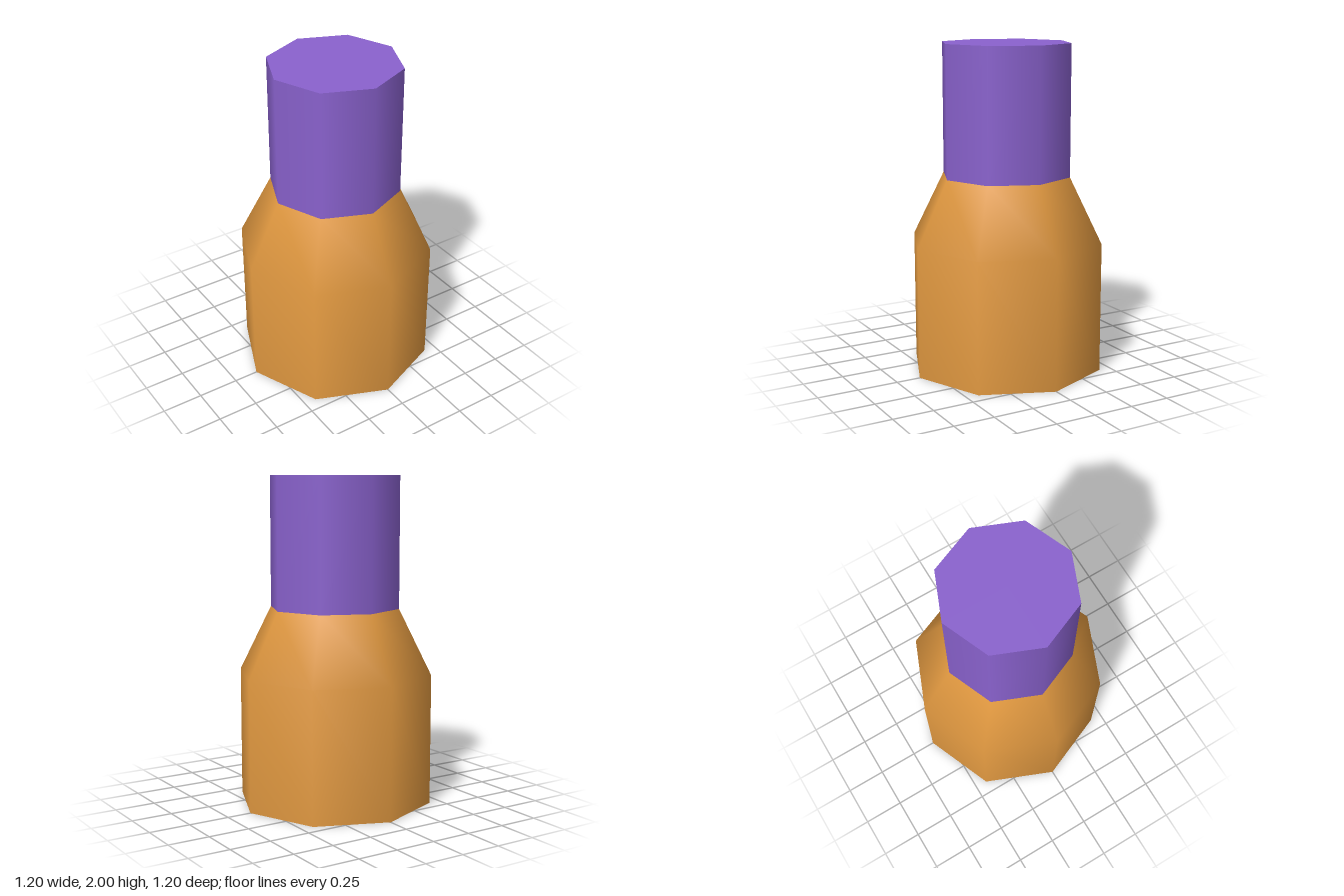
import * as THREE from 'three';

const SIDES = 8;

export function createModel() {
  const model = new THREE.Group();
  const orange = new THREE.MeshStandardMaterial({ color: 0xe09840 });
  orange.name = 'orange';
  const purple = new THREE.MeshStandardMaterial({ color: 0x8a62ce });
  purple.name = 'purple';

  const add = (name, geometry, material) => {
    const mesh = new THREE.Mesh(geometry, material);
    mesh.name = name;
    model.add(mesh);
    return mesh;
  };

  // Body wall and sloping shoulder, smooth across the shoulder line
  const profile = [[0.6, 0], [0.6, 0.8], [0.4, 1.2]].map(([r, y]) => new THREE.Vector2(r, y));
  add('body', new THREE.LatheGeometry(profile, SIDES), orange);

  // Flat underside
  add('base', new THREE.CircleGeometry(0.6, SIDES).rotateX(Math.PI / 2), orange);

  // Straight neck with a flat top
  add('neck', new THREE.CylinderGeometry(0.4, 0.4, 0.8, SIDES), purple).position.y = 1.6;

  return model;
}
